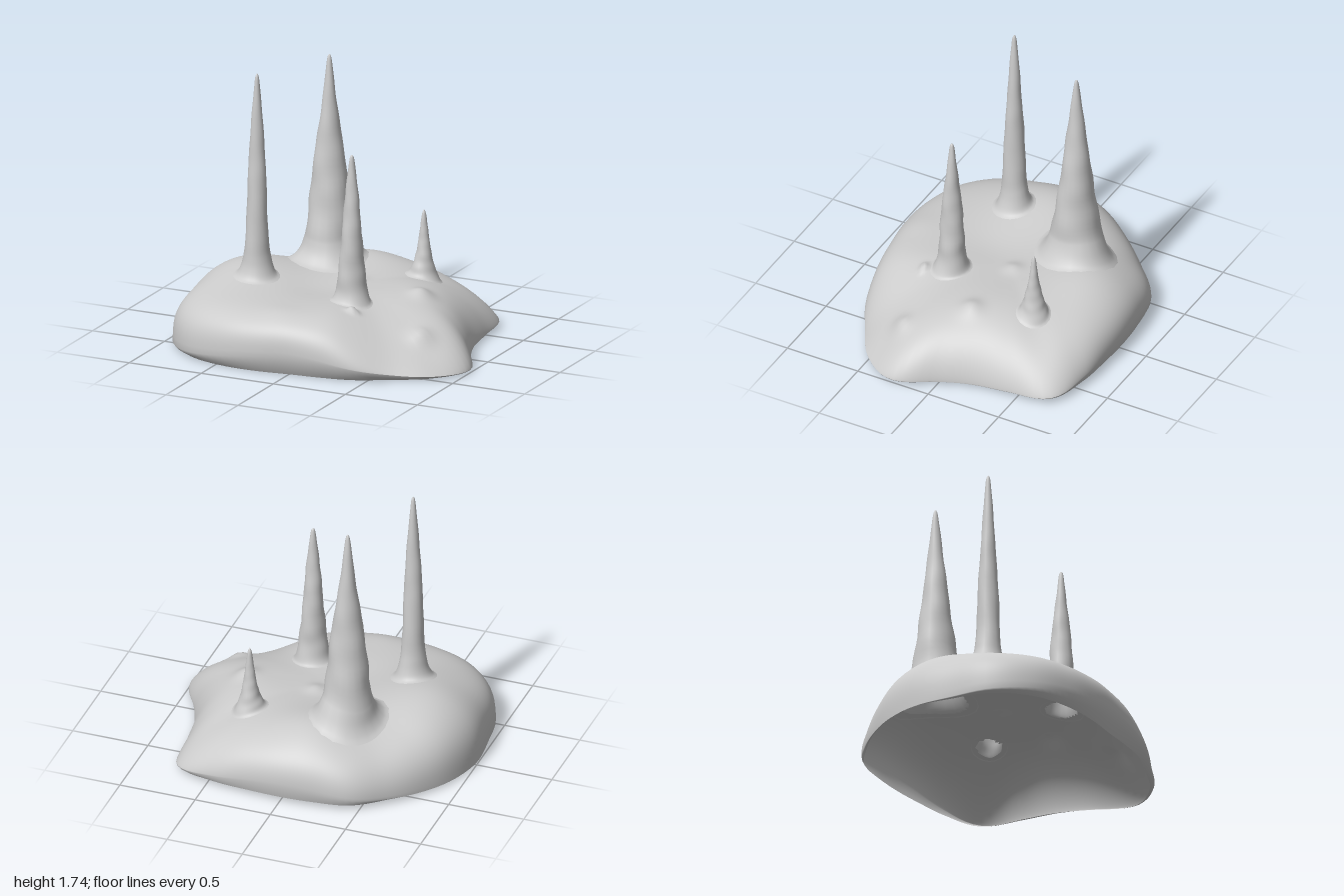
import * as THREE from 'three';
import { mergeVertices } from 'three/addons/utils/BufferGeometryUtils.js';

const material = new THREE.MeshStandardMaterial({ color: 0xcccccc, side: THREE.DoubleSide });

// Rock shape every 15 degrees, from +x towards +z: outline radius,
// then how far out the shoulder starts and how round it is
const RADII = [0.88, 1.035, 1.0, 0.91, 0.87, 0.83, 0.825, 0.88, 0.965, 1.05, 1.07, 1.015,
  1.0, 0.965, 0.925, 0.905, 0.91, 0.865, 0.85, 0.87, 0.94, 1.02, 0.89, 0.83];
const SHOULDER = [4.5, 3.3, 3, 3.2, 4, 5.5, 6, 6, 6, 6, 6, 6,
  6, 6, 5, 4.5, 4.5, 5, 5, 5, 4.3, 3.4, 4.2, 5];
const ROUNDNESS = [1.5, 1.25, 1, 1.1, 1.5, 2.4, 3, 3, 3, 3, 3, 3,
  3, 3, 2.6, 2.2, 2.2, 2.5, 2.5, 2.2, 1.6, 1.15, 1.4, 1.5];

// Broad swells and hollows of the top, then small knobs: x, z, spread, height
const SWELLS = [
  [-0.68, 0.02, 0.36, 0.095], [-0.1, -0.55, 0.28, 0.065], [-0.1, 0.15, 0.2, -0.015],
  [0.45, -0.2, 0.25, 0.02], [-0.12, 0.68, 0.12, 0.01],
];
const KNOBS = [
  [0.52, -0.04, 0.07, 0.035], [0.71, 0.35, 0.065, 0.04], [0.27, 0.43, 0.028, 0.04],
  [0.04, -0.08, 0.06, 0.02],
];

// Spikes: foot position, tip height, and [height, radius] pairs
const SPIKES = [
  { name: 'frontRightSpike', x: -0.5, z: 0.21, top: 1.74, wobble: 0.03,
    profile: [[0, 0.15], [0.012, 0.122], [0.04, 0.102], [0.09, 0.086], [0.18, 0.074], [0.45, 0.06], [0.6, 0.049], [0.78, 0.035], [0.92, 0.02], [0.98, 0.012], [1, 0]] },
  { name: 'backRightSpike', x: -0.275, z: -0.355, top: 1.74, wobble: 0.035,
    profile: [[0, 0.265], [0.015, 0.23], [0.05, 0.195], [0.1, 0.168], [0.15, 0.152], [0.3, 0.125], [0.45, 0.102], [0.6, 0.077], [0.75, 0.05], [0.9, 0.027], [0.98, 0.013], [1, 0]] },
  { name: 'frontLeftSpike', x: 0.19, z: 0.275, top: 1.32, wobble: 0.04,
    profile: [[0, 0.14], [0.015, 0.118], [0.06, 0.1], [0.13, 0.089], [0.25, 0.08], [0.5, 0.062], [0.7, 0.044], [0.88, 0.025], [0.98, 0.013], [1, 0]] },
  { name: 'backLeftSpike', x: 0.36, z: -0.4, top: 0.8, wobble: 0.03,
    profile: [[0, 0.12], [0.03, 0.1], [0.1, 0.083], [0.25, 0.061], [0.5, 0.038], [0.75, 0.023], [0.93, 0.013], [1, 0]] },
];

// Smooth closed interpolation of one of the tables above
function around(table, angle) {
  const n = table.length;
  const u = ((angle / (2 * Math.PI)) * n + 2 * n) % n;
  const i = Math.floor(u), t = u - i;
  const [a, b, c, d] = [-1, 0, 1, 2].map((k) => table[(i + k + n) % n]);
  return b + 0.5 * t * (c - a + t * (2 * a - 5 * b + 4 * c - d + t * (3 * (b - c) + d - a)));
}

const sumBumps = (bumps, x, z) => bumps.reduce((sum, [bx, bz, spread, h]) =>
  sum + h * Math.exp(-((x - bx) ** 2 + (z - bz) ** 2) / (spread * spread)), 0);

// Height of the rock at a point
function surface(x, z) {
  const angle = Math.atan2(z, x);
  const f = Math.min(1, Math.hypot(x, z) / around(RADII, angle));
  const shoulder = Math.pow(1 - Math.pow(f, around(SHOULDER, angle)), 1 / around(ROUNDNESS, angle));
  const crown = 0.378 + sumBumps(SWELLS, x, z);
  const low = 0.02 + 0.1 * Math.sin(angle) ** 4;
  return low + (crown - low) * shoulder + sumBumps(KNOBS, x, z) * Math.min(1, 2 * shoulder);
}

// Hollow rock shell, open underneath and below each spike
function makeRock() {
  const rings = 64, segs = 128, pos = [0, surface(0, 0), 0], index = [];
  for (let r = 1; r <= rings + 2; r++) {
    for (let s = 0; s < segs; s++) {
      const a = (s / segs) * Math.PI * 2, R = around(RADII, a);
      const f = Math.sin((Math.min(r, rings) / rings) * Math.PI / 2);
      let x = Math.cos(a) * R * f, z = Math.sin(a) * R * f, y = surface(x, z);
      if (r > rings) { // tucked-in lower edge
        const k = (r - rings) / 2;
        const tuck = 1 - k * k * (0.055 * Math.max(0, Math.sin(a)) + 0.02 * Math.max(0, -Math.sin(a)));
        x *= tuck;
        z *= tuck;
        y += (0.018 - 0.02 * z - y) * k;
      }
      pos.push(x, y, z);
    }
  }
  const underSpike = (i) => SPIKES.some((s) =>
    Math.hypot(pos[3 * i] - s.x, pos[3 * i + 2] - s.z) < s.profile[0][1] * 0.8);
  const tri = (...c) => { if (!c.every(underSpike)) index.push(...c); };
  const id = (r, s) => 1 + (r - 1) * segs + (s % segs);
  for (let s = 0; s < segs; s++) {
    tri(0, id(1, s + 1), id(1, s));
    for (let r = 1; r < rings + 2; r++) {
      tri(id(r, s), id(r, s + 1), id(r + 1, s));
      tri(id(r, s + 1), id(r + 1, s + 1), id(r + 1, s));
    }
  }
  const geo = new THREE.BufferGeometry();
  geo.setAttribute('position', new THREE.Float32BufferAttribute(pos, 3));
  geo.setIndex(index);
  geo.computeVertexNormals();
  return geo;
}

// Tapered, slightly lumpy spike whose flared foot follows the rock
function makeSpike({ x, z, top, wobble, profile }) {
  const curve = new THREE.SplineCurve(profile.map(([h, r]) => new THREE.Vector2(r, h)));
  const pts = curve.getPoints(54).map((p) => new THREE.Vector2(Math.max(0, p.x), p.y));
  let geo = new THREE.LatheGeometry(pts, 20);
  const pos = geo.attributes.position;
  for (let i = 0; i < pos.count; i++) {
    const px = pos.getX(i), pz = pos.getZ(i), t = pos.getY(i);
    const a = Math.atan2(pz, px);
    const k = 1 + wobble * (Math.sin(2 * a + 9 * t + x * 7) + 0.6 * Math.sin(a * 3 - 23 * t) + 0.5 * Math.sin(38 * t + a));
    const vx = x + px * k, vz = z + pz * k;
    const foot = surface(vx, vz) - 0.003;
    pos.setXYZ(i, vx, foot + (top - foot) * t, vz);
  }
  geo.deleteAttribute('uv');
  geo.deleteAttribute('normal');
  geo = mergeVertices(geo, 1e-5);
  geo.computeVertexNormals();
  return geo;
}

export function createModel() {
  const group = new THREE.Group();
  group.name = 'stalagmiteRock';
  const add = (name, geo) => {
    const mesh = new THREE.Mesh(geo, material);
    mesh.name = name;
    group.add(mesh);
  };
  add('rockBase', makeRock());
  for (const spike of SPIKES) add(spike.name, makeSpike(spike));
  return group;
}
